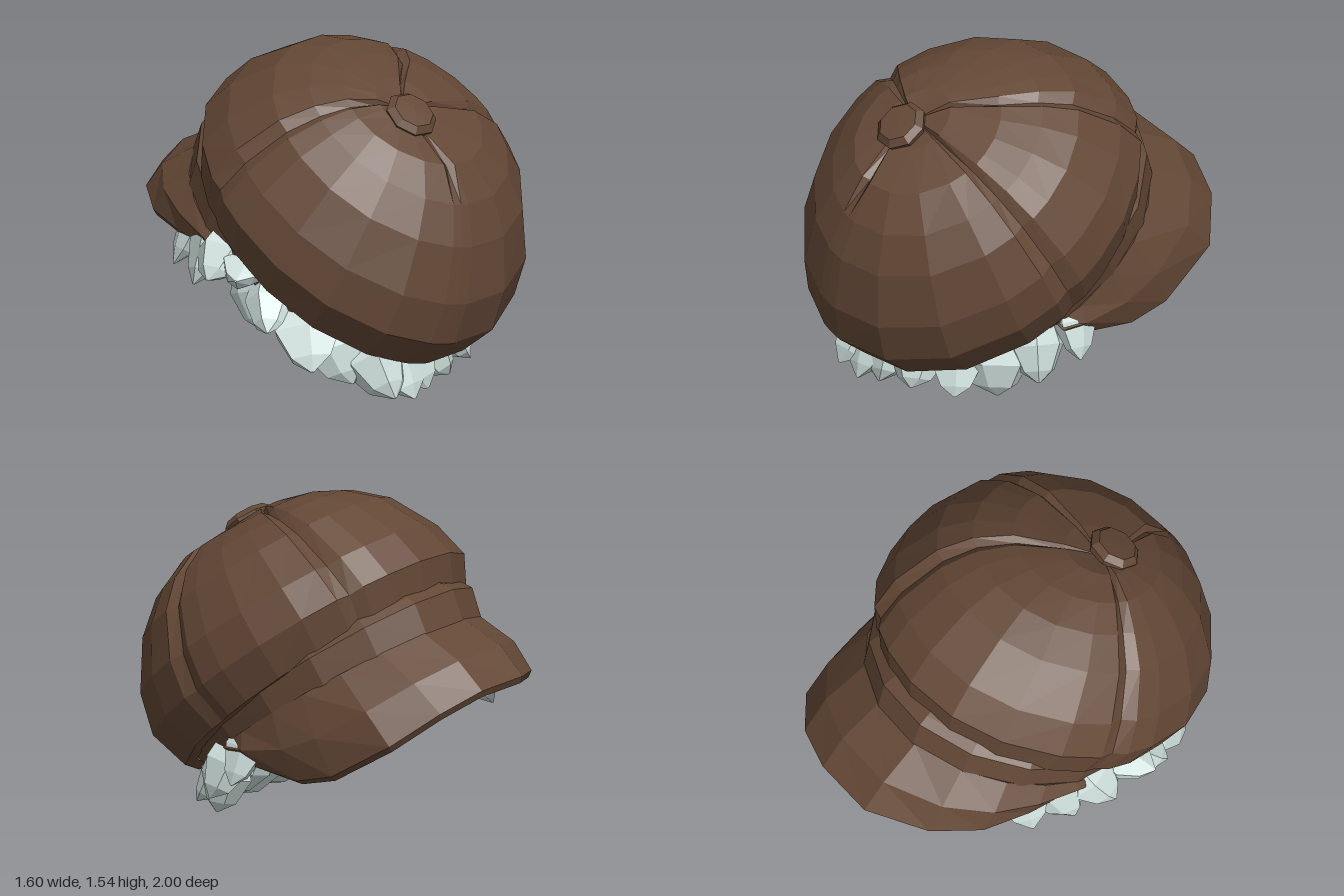
import * as THREE from 'three';

const material = (name, color) => {
  const m = new THREE.MeshStandardMaterial({ color, flatShading: true, side: THREE.DoubleSide });
  m.name = name;
  return m;
};

// Faceted skin over a list of cross-sections (each a closed loop of points)
function loft(sections, wrap = false) {
  const pos = [];
  const tri = (...pts) => pts.forEach((p) => pos.push(p.x, p.y, p.z));
  const rows = wrap ? sections.length : sections.length - 1;
  for (let i = 0; i < rows; i++) {
    const A = sections[i], B = sections[(i + 1) % sections.length];
    for (let j = 0; j < A.length; j++) {
      const k = (j + 1) % A.length;
      tri(A[j], B[j], A[k]);
      tri(A[k], B[j], B[k]);
    }
  }
  const g = new THREE.BufferGeometry();
  g.setAttribute('position', new THREE.Float32BufferAttribute(pos, 3));
  g.computeVertexNormals();
  return g;
}

const V = (x, y, z) => new THREE.Vector3(x, y, z);
const rad = THREE.MathUtils.degToRad;

export function createModel() {
  const root = new THREE.Group();
  root.name = 'capWithHair';
  const brown = material('brown cloth', 0x644836);
  const pale = material('pale hair', 0xcfe0dc);
  const add = (parent, name, geo, mat) => {
    const m = new THREE.Mesh(geo, mat);
    m.name = name;
    parent.add(m);
    return m;
  };

  // The cap is built upright (brim toward -z), then tipped back and to one side
  const cap = new THREE.Group();
  cap.name = 'cap';
  cap.rotation.set(0.54, -0.05, -0.12, 'ZYX');
  cap.position.set(-0.01, 0.58, 0.09);
  cap.updateMatrix();
  root.add(cap);

  // Puffy crown with sewn pleats: angle, and the radius where each one fades out
  const pleats = [[30, 1], [93, 1], [186, 0.5], [283, 1]];
  const angles = [0, 15, 48, 64, 79, 112, 136, 160, 208, 230, 250, 268, 302, 322, 341];
  pleats.forEach(([p]) => angles.push(p - 5, p, p + 5));
  angles.sort((a, b) => a - b);
  // radius, height, rise toward the front, pleat depth, sideways shift, side fullness
  const profile = [
    [0.84, 0.05, 0.06, 0, 0, 1], [0.915, 0.06, 0.07, 0.02, 0, 1], [1, 0.24, 0.05, 0.03, 0, 1],
    [0.94, 0.43, 0.035, 0.04, 0.01, 1.02], [0.775, 0.655, 0.03, 0.045, 0.015, 1.05],
    [0.61, 0.78, 0.015, 0.045, 0.015, 1.06], [0.42, 0.865, 0, 0.05, -0.01, 1.08],
    [0.2, 0.9, 0.01, 0.06, -0.07, 1], [0.02, 0.89, 0, 0, -0.09, 1],
  ];
  const crown = profile.map(([r, h, rise, depth, shift, wide]) => angles.map((deg) => {
    const pleated = pleats.some(([p, reach]) => p === deg && r <= reach);
    const dent = pleated ? 1 - depth : 1;
    const s = Math.sin(rad(deg)), c = Math.cos(rad(deg));
    return V(shift + 0.79 * r * wide * dent * s, h * (1 - (1 - dent) * 0.5) + rise * c,
      (c < 0 ? -0.89 : -0.9) * r * dent * c);
  }));
  add(cap, 'crown', loft(crown), brown);

  // Eight-sided button on top
  const button = add(cap, 'button', new THREE.LatheGeometry(
    [[0.11, -0.04], [0.13, 0.015], [0.1, 0.045], [0, 0.05]].map(([x, y]) => new THREE.Vector2(x, y)), 8), brown);
  button.position.set(-0.1, 0.9, 0.07);
  button.rotation.set(0.08, Math.PI / 8, 0.08);

  // Band around the opening, proud of the crown at the front
  const bandPoint = (deg, k, h) => {
    const s = Math.sin(rad(deg)), c = Math.cos(rad(deg));
    return V(0.695 * k * s, h, -0.07 - 0.82 * k * c);
  };
  const band = [];
  for (let i = 0; i < 16; i++) {
    const d = i * 22.5 + 11.25, lift = 0.03 * Math.cos(rad(d));
    band.push([[0.93, 0.15], [0.96, 0.13], [1.0, 0.085], [0.965, -0.04], [0.91, -0.045]]
      .map(([k, h]) => bandPoint(d, k, h + (h > 0 ? lift : 0))));
  }
  add(cap, 'band', loft(band, true), brown);

  // Drooping brim, hanging lower on its left: outer edge x, height, z and angle on the band
  const edge = [
    [-0.65, -0.07, -0.05, -91], [-0.64, -0.12, -0.2, -79], [-0.61, -0.22, -0.4, -66],
    [-0.55, -0.31, -0.62, -51], [-0.41, -0.37, -0.83, -33], [-0.15, -0.41, -1.01, -12],
    [0.15, -0.41, -1.02, 12], [0.38, -0.43, -0.93, 32], [0.58, -0.46, -0.73, 49], [0.66, -0.44, -0.38, 65],
    [0.67, -0.37, -0.18, 79], [0.67, -0.19, 0.04, 95], [0.66, -0.08, 0.12, 105],
  ];
  const brim = edge.map(([x, y, z, a]) => {
    const inner = bandPoint(a, 0.965, -0.03), outer = V(x, y, z);
    const out = V(Math.sin(rad(a)), 0.25, -Math.cos(rad(a))).normalize();
    const mid = inner.clone().lerp(outer, 0.55).addScaledVector(out, 0.035);
    const under = (p) => p.clone().addScaledVector(out, -0.03);
    return [inner, mid, outer, under(outer).add(V(0, -0.015, 0)), under(mid), under(inner)];
  });
  add(cap, 'brim', loft(brim), brown);
  [brim[0], brim[brim.length - 1]].forEach((s) => {
    const c = s.reduce((a, p) => a.add(p), V(0, 0, 0)).divideScalar(s.length);
    add(cap, 'brimEnd', loft([s, s.map(() => c)]), brown);
  });

  // Hair lining inside the opening
  const hair = new THREE.Group();
  hair.name = 'hair';
  root.add(hair);
  const lining = [];
  for (let i = 0; i <= 16; i++) {
    const d = 78 + i * 17, low = -0.07 - (i % 2) * 0.04;
    lining.push([[0.9, 0.03], [0.91, low], [0.8, low + 0.02], [0.78, 0.03]]
      .map(([k, h]) => bandPoint(d, k, h).applyMatrix4(cap.matrix)));
  }
  add(hair, 'hairLining', loft(lining), pale);

  // Chunky pointed tufts: tip x, y, z and half width
  const tufts = [
    [0.56, 0.3, 0.05, 0.11], [0.69, 0.22, 0.14, 0.11], [0.61, 0.13, 0.33, 0.14],
    [0.43, 0.03, 0.43, 0.17], [0.34, 0.05, 0.62, 0.12], [0.12, 0.04, 0.7, 0.14],
    [-0.06, 0.02, 0.74, 0.15], [-0.18, 0, 0.77, 0.14], [-0.31, 0.03, 0.77, 0.16],
    [-0.42, 0.09, 0.6, 0.15], [-0.63, 0.18, 0.54, 0.16], [-0.73, 0.35, 0.34, 0.13],
    [-0.6, 0.3, 0.18, 0.14], [-0.8, 0.59, 0.2, 0.12], [-0.77, 0.54, -0.02, 0.15],
    [-0.68, 0.46, -0.2, 0.14], [-0.61, 0.5, -0.4, 0.13], [-0.4, 0.66, -0.5, 0.11], [-0.18, 0.78, -0.56, 0.1],
  ];
  tufts.forEach(([x, y, z, w], n) => {
    const a = Math.atan2(x, 0.1 - z);
    const base = V(0.55 * Math.sin(a), 0, -0.07 - 0.65 * Math.cos(a)).applyMatrix4(cap.matrix);
    const tip = V(x, y, z);
    const t = tip.clone().sub(base).normalize();
    const side = V(Math.cos(a), 0, Math.sin(a));
    side.addScaledVector(t, -side.dot(t)).normalize();
    const normal = side.clone().cross(t);
    const rings = [[0, 0.7], [0.42, 1.1], [0.78, 0.65], [1, 0.05]].map(([f, k], i) => {
      const c = base.clone().lerp(tip, f);
      c.y -= i === 1 || i === 2 ? 0.02 : 0;
      return Array.from({ length: 6 }, (_, j) => {
        const q = j * Math.PI / 3 + n * 0.7, r = w * k * (j % 2 ? 0.85 : 1.05);
        const p = c.clone().addScaledVector(side, r * Math.cos(q)).addScaledVector(normal, r * 0.65 * Math.sin(q));
        p.y = Math.max(p.y, 0);
        return p;
      });
    });
    add(hair, 'hairTuft', loft(rings), pale);
  });

  return root;
}
